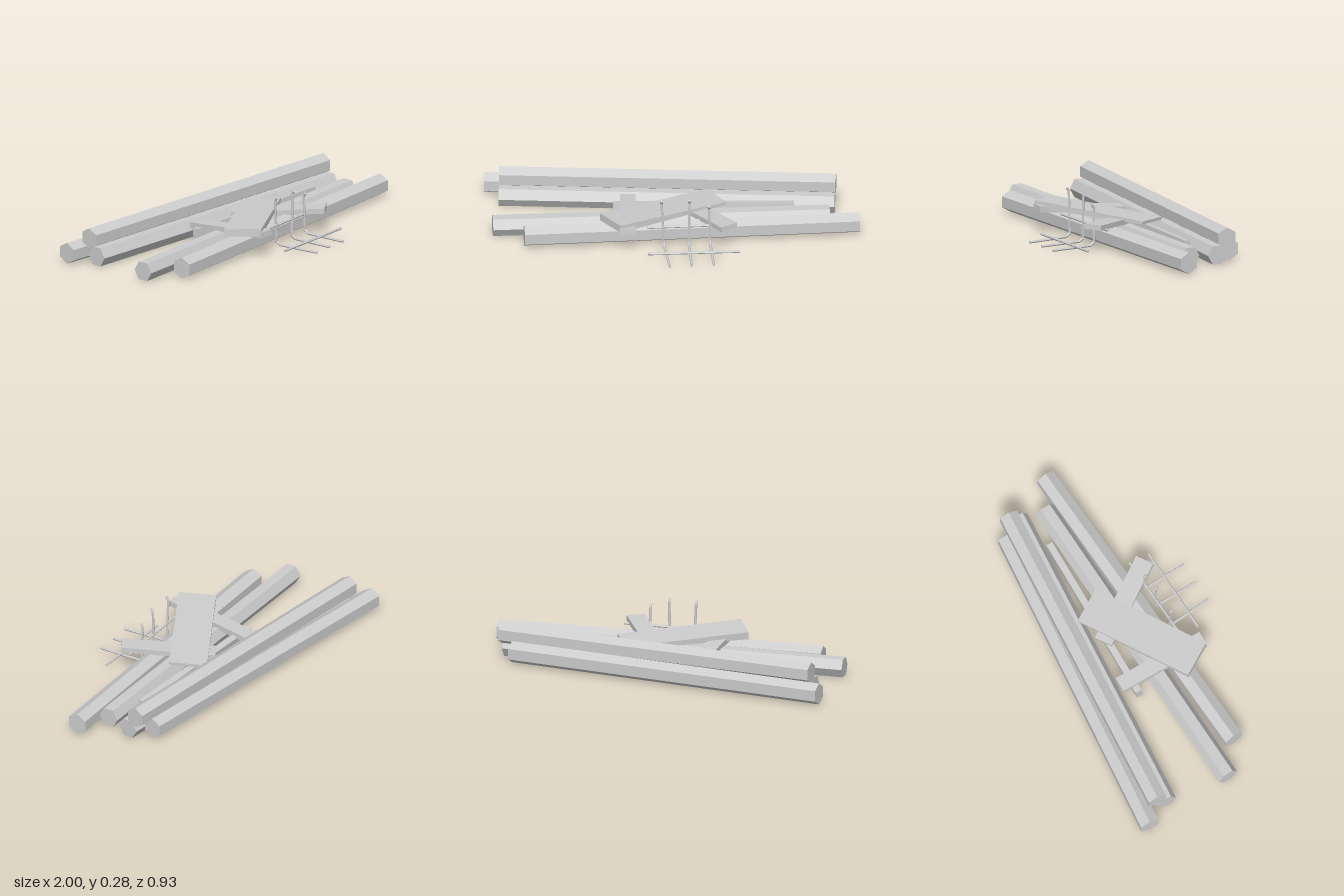
import * as THREE from 'three';

const grey = new THREE.MeshStandardMaterial({ color: 0xcccccc, flatShading: true });
const V = (p) => new THREE.Vector3(...p);

// Places a geometry that runs along +x so that it spans from a to b, rolled about its own length.
function span(name, geometry, a, b, roll = 0) {
  const start = V(a), end = V(b);
  const dir = end.clone().sub(start).normalize();
  const side = dir.clone().cross(new THREE.Vector3(0, 1, 0)).normalize();
  const up = side.clone().cross(dir);
  geometry.rotateX(roll);
  const mesh = new THREE.Mesh(geometry, grey);
  mesh.name = name;
  mesh.quaternion.setFromRotationMatrix(new THREE.Matrix4().makeBasis(dir, up, side));
  mesh.position.copy(start).add(end).multiplyScalar(0.5);
  return mesh;
}

// Six-sided log; ridge = true puts an edge on top, otherwise a flat face.
function log(name, a, b, radius, ridge) {
  const g = new THREE.CylinderGeometry(radius, radius, V(a).distanceTo(V(b)), 6, 1, false, ridge ? Math.PI / 6 : 0);
  g.rotateZ(-Math.PI / 2);
  return span(name, g, a, b);
}

// Board whose far end may be thinner than its near end.
function plank(name, a, b, width, thick, endThick = thick, roll = 0) {
  const g = new THREE.BoxGeometry(V(a).distanceTo(V(b)), thick, width);
  const p = g.attributes.position;
  for (let i = 0; i < p.count; i++) {
    if (p.getX(i) > 0) p.setY(i, p.getY(i) * endThick / thick);
  }
  g.computeVertexNormals();
  return span(name, g, a, b, roll);
}

// Thin bent rod with capped ends, following straight segments.
function rod(name, points, radius = 0.007) {
  const group = new THREE.Group();
  group.name = name;
  for (let i = 0; i < points.length - 1; i++) {
    const g = new THREE.CylinderGeometry(radius, radius, V(points[i]).distanceTo(V(points[i + 1])) + radius * 0.6, 6);
    g.rotateZ(-Math.PI / 2);
    group.add(span(name + 'Segment', g, points[i], points[i + 1]));
  }
  return group;
}

export function createModel() {
  const model = new THREE.Group();
  model.name = 'debrisPile';

  // Logs: a stack of three at the back, two loose ones in front
  model.add(
    log('backLog', [-1, 0.058, -0.417], [0.78, 0.058, -0.339], 0.058, true),
    log('topLog', [-0.92, 0.14, -0.33], [0.86, 0.14, -0.288], 0.057, true),
    log('stackFrontLog', [-0.92, 0.053, -0.277], [0.855, 0.053, -0.235], 0.057, false),
    log('middleLog', [-0.945, 0.054, 0.078], [0.83, 0.054, -0.086], 0.056, false),
    log('frontLog', [-0.775, 0.058, 0.2], [0.99, 0.058, -0.001], 0.058, true),
  );

  // Boards lying across the front logs, and a beam on edge behind them
  model.add(
    plank('widePlank', [-0.32, 0.149, 0.22], [0.232, 0.121, -0.15], 0.2, 0.04, 0.016, -0.06),
    plank('leftPlank', [-0.228, 0.14, 0.305], [-0.238, 0.09, -0.2], 0.083, 0.032),
    plank('rightPlank', [0.308, 0.138, 0.235], [0.015, 0.1, -0.165], 0.1, 0.028),
    plank('edgeBeam', [-0.315, 0.053, -0.122], [0.64, 0.053, -0.156], 0.036, 0.082, 0.082, -0.12),
  );

  // Bent reinforcing bars: foot on the ground, upright, kinked tip
  const bars = new THREE.Group();
  bars.name = 'reinforcingBars';
  const uprights = [
    { x: -0.038, z: 0.203, tipX: -0.05, footX: 0, footZ: 0.455, top: 0.275 },
    { x: 0.094, z: 0.19, tipX: 0.098, footX: 0.115, footZ: 0.44, top: 0.275 },
    { x: 0.207, z: 0.178, tipX: 0.2, footX: 0.232, footZ: 0.43, top: 0.235 },
  ];
  for (const { x, z, tipX, footX, footZ, top } of uprights) {
    bars.add(rod('uprightBar', [
      [footX, 0.015, footZ], [x + (footX - x) * 0.1, 0.015, z + 0.025], [x, 0.03, z],
      [tipX, top - 0.015, z], [tipX, top, z + 0.01],
    ]));
  }
  bars.add(rod('lowerCrossBar', [[-0.115, 0.025, 0.332], [0.365, 0.025, 0.29]]));
  bars.add(rod('upperCrossBar', [[-0.12, 0.12, 0.212], [0.34, 0.12, 0.162]]));
  model.add(bars);

  return model;
}
